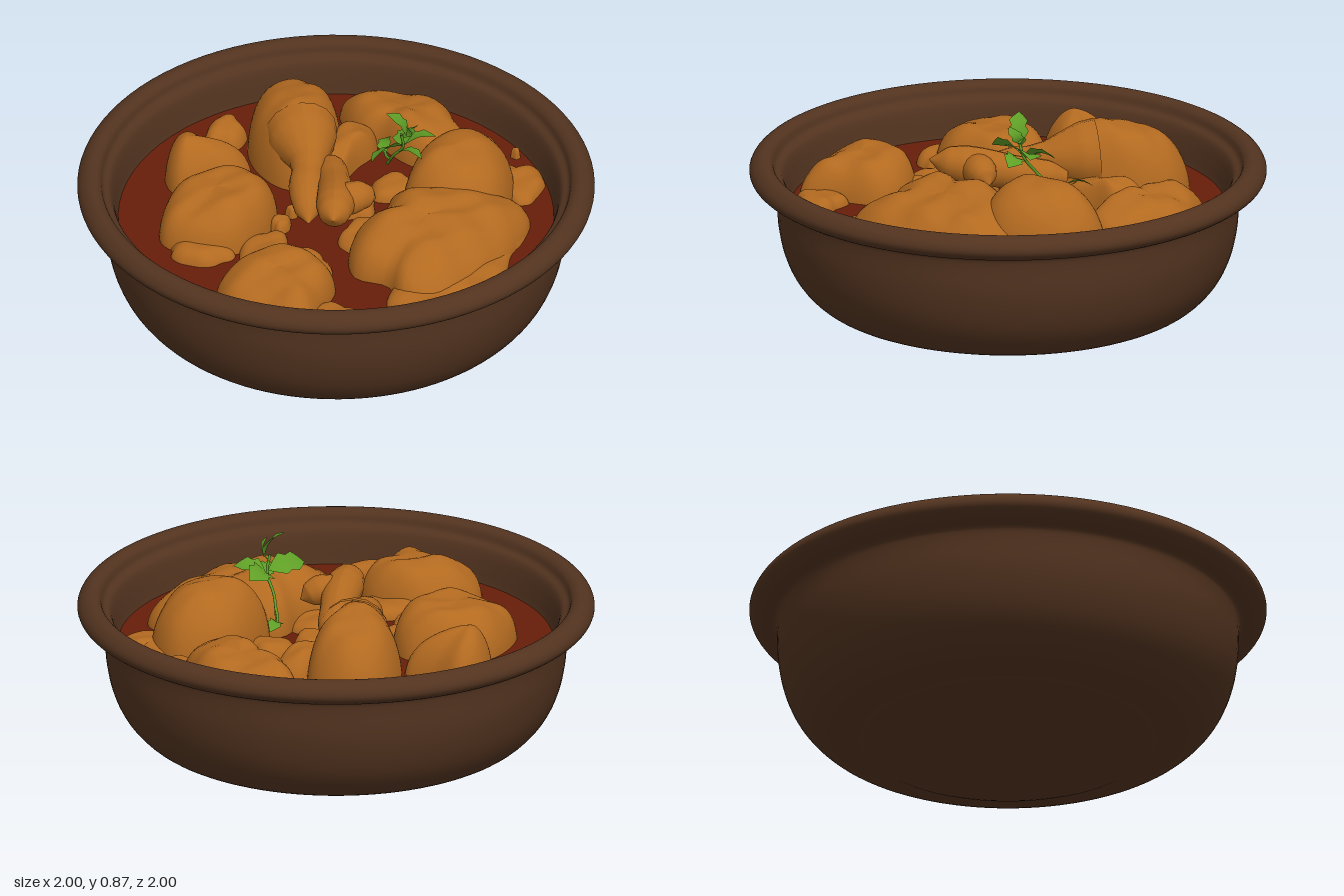
import * as THREE from 'three';

const mat = (name, color, side = THREE.FrontSide) => {
  const m = new THREE.MeshStandardMaterial({ color, side });
  m.name = name;
  return m;
};
const V = (x, y, z) => new THREE.Vector3(x, y, z);
const SAUCE_Y = 0.425;

function makeGeometry(pos, idx) {
  const g = new THREE.BufferGeometry();
  g.setAttribute('position', new THREE.Float32BufferAttribute(pos, 3));
  g.setIndex(idx);
  g.computeVertexNormals();
  return g;
}

// Lump of meat: a closed outline [x, z] shrinking ring by ring towards a peak.
// boxy < 1 gives steep sides and a flat top; tilt slopes the top; rough adds folds.
function lump(outline, top, { boxy = 0.75, tilt = [0, 0], rough = 0.012, peak } = {}) {
  const pts = outline.map(([x, z]) => V(x, 0, z));
  const area = pts.reduce((a, p, i) => {
    const q = pts[(i + 1) % pts.length];
    return a + p.x * q.z - q.x * p.z;
  }, 0);
  if (area < 0) pts.reverse();
  const mid = pts.reduce((a, p) => a.add(p), V(0, 0, 0)).divideScalar(pts.length);
  const c = peak ? V(peak[0], 0, peak[1]) : mid;
  const n = 56, rings = 16, base = SAUCE_Y - 0.015;
  const edge = new THREE.CatmullRomCurve3(pts, true, 'centripetal').getSpacedPoints(n);
  const pos = [], idx = [];
  for (let k = 0; k <= rings; k++) {
    const t = (k / rings) * Math.PI / 2;
    const s = k === rings ? 0 : Math.pow(Math.cos(t), boxy), h = Math.sin(t);
    for (let i = 0; i < n; i++) {
      const dx = (edge[i].x - c.x) * s, dz = (edge[i].z - c.z) * s;
      const x = c.x + dx, z = c.z + dz;
      const fold = Math.sin(x * 23 + z * 9 + top * 40) + 0.7 * Math.sin(z * 31 - x * 14)
        + 0.4 * Math.sin(x * 47 + z * 38);
      pos.push(x, base + (top - base) * h + h * (rough * fold + tilt[0] * dx + tilt[1] * dz), z);
      if (k < rings) {
        const a = k * n + i, b = k * n + (i + 1) % n;
        idx.push(a, a + n, b, b, a + n, b + n);
      }
    }
  }
  return makeGeometry(pos, idx);
}

// Tapered limb: a tube whose rings are scaled by radii spread along the path.
function limb(path, radii, sides = 16) {
  const curve = new THREE.CatmullRomCurve3(path.map(p => V(...p)));
  const n = 36, g = new THREE.TubeGeometry(curve, n, 1, sides);
  const p = g.attributes.position, v = V(0, 0, 0);
  for (let i = 0; i <= n; i++) {
    const c = curve.getPointAt(i / n), f = (i / n) * (radii.length - 1);
    const k = Math.min(Math.floor(f), radii.length - 2);
    const r = THREE.MathUtils.lerp(radii[k], radii[k + 1], f - k);
    for (let j = 0; j <= sides; j++) {
      const q = i * (sides + 1) + j;
      v.fromBufferAttribute(p, q).sub(c).multiplyScalar(r).add(c);
      p.setXYZ(q, v.x, v.y, v.z);
    }
  }
  g.computeVertexNormals();
  return g;
}

// Lobed leaf folded along its midrib and curled upwards in the middle.
function leaf(from, to, width, side) {
  const a = V(...from), b = V(...to), s = V(...side).normalize();
  const up = V(0, 0, 0).crossVectors(s, b.clone().sub(a)).normalize();
  if (up.y < 0) up.negate();
  const lobes = [0.08, 0.6, 1, 0.7, 0.9, 0.5, 0], pos = [], idx = [];
  lobes.forEach((w, i) => {
    const t = i / (lobes.length - 1);
    const c = a.clone().lerp(b, t).addScaledVector(up, 0.02 * Math.sin(Math.PI * t));
    for (const d of [-1, 0, 1]) {
      const q = c.clone().addScaledVector(s, d * w * width).addScaledVector(up, Math.abs(d) * w * width * 0.2);
      pos.push(q.x, q.y, q.z);
    }
    if (i) for (const j of [0, 1]) {
      const k = (i - 1) * 3 + j;
      idx.push(k, k + 1, k + 3, k + 1, k + 4, k + 3);
    }
  });
  return makeGeometry(pos, idx);
}

// Oval outline with a gently wavy edge.
const oval = (x, z, rx, rz) => Array.from({ length: 16 }, (_, i) => {
  const a = (i / 16) * Math.PI * 2;
  const r = 1 + 0.09 * Math.sin(a * 3 + x * 9) + 0.06 * Math.sin(a * 5 + z * 7);
  return [x + Math.cos(a) * rx * r, z + Math.sin(a) * rz * r];
});

export function createModel() {
  const model = new THREE.Group();
  model.name = 'stewBowl';
  const clay = mat('brown clay', 0x52331f);
  const sauceMat = mat('red sauce', 0x661e09);
  const meat = mat('cooked meat', 0xb36a20);
  const green = mat('herb green', 0x5f9e26, THREE.DoubleSide);
  const add = (name, geometry, material, parent = model) => {
    const m = new THREE.Mesh(geometry, material);
    m.name = name;
    parent.add(m);
    return m;
  };

  // Bowl: foot, rounded wall, rolled rim and inner wall
  const profile = [[0, 0.015], [0.3, 0.012], [0.5, 0.005], [0.55, 0.012], [0.59, 0.028], [0.67, 0.04],
    [0.75, 0.08], [0.82, 0.155], [0.865, 0.25], [0.888, 0.36], [0.893, 0.47], [0.905, 0.51], [0.95, 0.522],
    [0.988, 0.545], [1, 0.57], [0.99, 0.597], [0.965, 0.617], [0.935, 0.62], [0.912, 0.605],
    [0.9, 0.575], [0.875, 0.56], [0.862, 0.53], [0.852, 0.48], [0.838, 0.41], [0.8, 0.36]];
  const curve = new THREE.SplineCurve(profile.map(p => new THREE.Vector2(...p)));
  const wall = curve.getPoints(96);
  wall[0].x = 0;
  add('bowl', new THREE.LatheGeometry(wall, 96), clay);

  const sauce = add('sauce', new THREE.CircleGeometry(0.842, 72).rotateX(-Math.PI / 2), sauceMat);
  sauce.position.y = SAUCE_Y;

  // Large meat pieces
  const pieces = new THREE.Group();
  pieces.name = 'meatPieces';
  model.add(pieces);
  const piece = (name, outline, top, opts) => add(name, lump(outline, top, opts), meat, pieces);
  piece('backPiece', [[-0.24, -0.66], [-0.19, -0.74], [-0.02, -0.78], [0.05, -0.81], [0.17, -0.77], [0.25, -0.68],
    [0.32, -0.6], [0.33, -0.5], [0.26, -0.42], [0.13, -0.43], [-0.02, -0.5], [-0.1, -0.5], [-0.19, -0.58]], 0.575,
  { boxy: 0.6, tilt: [0, 0.12], rough: 0.008 });
  piece('drumstickHead', [[-0.51, -0.43], [-0.49, -0.53], [-0.4, -0.6], [-0.25, -0.58], [-0.16, -0.47],
    [-0.12, -0.3], [-0.12, -0.15], [-0.25, -0.1], [-0.38, -0.16], [-0.47, -0.27]], 0.715,
  { rough: 0.007, peak: [-0.28, -0.3] });
  piece('rightBackPiece', [[0.21, -0.4], [0.28, -0.5], [0.4, -0.55], [0.54, -0.48], [0.6, -0.34], [0.6, -0.18],
    [0.5, -0.07], [0.36, -0.04], [0.24, -0.1], [0.2, -0.26]], 0.685, { rough: 0.005, peak: [0.39, -0.27] });
  piece('rightPiece', [[0.14, 0.2], [0.2, 0.08], [0.2, -0.08], [0.36, -0.18], [0.58, -0.28], [0.71, -0.24],
    [0.73, 0], [0.67, 0.24], [0.58, 0.42], [0.45, 0.46], [0.36, 0.38], [0.22, 0.37]], 0.615,
  { boxy: 0.7, tilt: [-0.14, -0.06], rough: 0.01, peak: [0.42, 0.1] });
  piece('frontPiece', [[-0.24, 0.66], [-0.19, 0.5], [-0.08, 0.41], [0.08, 0.4], [0.18, 0.47], [0.19, 0.64],
    [0.18, 0.79], [0, 0.81], [-0.16, 0.78]], 0.585, { boxy: 0.65, tilt: [0, -0.16], rough: 0.009 });
  piece('leftFrontPiece', [[-0.61, 0.14], [-0.52, 0.04], [-0.34, -0.03], [-0.22, 0.06], [-0.2, 0.2],
    [-0.26, 0.38], [-0.4, 0.45], [-0.55, 0.43], [-0.61, 0.3]], 0.61, { boxy: 0.55, tilt: [0.1, -0.05], rough: 0.008 });
  piece('leftPiece', [[-0.72, -0.12], [-0.67, -0.19], [-0.55, -0.17], [-0.42, -0.17], [-0.41, -0.08],
    [-0.5, 0.02], [-0.62, 0.09], [-0.7, 0.02]], 0.625, { boxy: 1.1, peak: [-0.63, -0.03], rough: 0.004 });
  piece('smallLeftPiece', oval(-0.59, -0.34, 0.08, 0.1), 0.51, { rough: 0.004 });
  piece('skinFlap', [[-0.16, -0.52], [-0.05, -0.54], [-0.01, -0.45], [-0.04, -0.34], [-0.07, -0.2], [-0.16, -0.2]],
    0.56, { rough: 0.01 });
  piece('rightFringe', [[0.5, -0.2], [0.7, -0.25], [0.74, -0.1], [0.73, 0], [0.76, 0.14], [0.75, 0.33], [0.66, 0.36],
    [0.6, 0.52], [0.53, 0.58], [0.46, 0.54], [0.4, 0.5], [0.4, 0.2]], 0.475, { boxy: 0.4, rough: 0.005 });

  // Thin scraps lying on the sauce
  [[0.42, -0.4, 0.24, 0.17], [0.25, 0.68, 0.11, 0.1], [-0.17, 0.33, 0.09, 0.13], [-0.4, 0.43, 0.13, 0.09],
    [0.35, -0.61, 0.08, 0.09], [0, 0.38, 0.13, 0.1], [-0.53, 0.06, 0.12, 0.08], [0.15, -0.24, 0.1, 0.09],
    [0.59, -0.44, 0.1, 0.12], [0.5, -0.63, 0.02, 0.015], [-0.16, 0.06, 0.025, 0.02], [-0.17, 0.15, 0.04, 0.05],
    [0.16, 0.1, 0.1, 0.12], [0.05, -0.08, 0.08, 0.09]]
    .forEach(([x, z, rx, rz], i) => piece('scrap' + (i + 1), oval(x, z, rx, rz), 0.475, { boxy: 0.5, rough: 0.005 }));

  // Drumstick shank, and the second bone lying across with its side tip
  add('drumstickShank', limb([[-0.25, 0.59, -0.27], [-0.16, 0.58, -0.11], [-0.11, 0.55, 0.03], [-0.04, 0.5, 0.19]],
    [0.14, 0.13, 0.1, 0.07, 0.062, 0.07, 0.065, 0.05, 0]), meat, pieces);
  add('wingBone', limb([[-0.11, 0.53, -0.2], [-0.04, 0.55, -0.07], [0.03, 0.58, 0.08], [0.1, 0.61, 0.29]],
    [0.03, 0.06, 0.065, 0.065, 0.07, 0.075, 0.075, 0.06, 0]), meat, pieces);
  add('wingTip', limb([[0.03, 0.56, 0.13], [0.11, 0.59, 0.07], [0.17, 0.56, 0.01]],
    [0.03, 0.06, 0.065, 0.06, 0.045, 0]), meat, pieces);

  // Herb sprig
  const herb = new THREE.Group();
  herb.name = 'herbSprig';
  model.add(herb);
  const stem = (name, pts) => add(name,
    new THREE.TubeGeometry(new THREE.CatmullRomCurve3(pts.map(p => V(...p))), 12, 0.006, 6), green, herb);
  stem('mainStem', [[0.12, 0.55, -0.24], [0.17, 0.64, -0.18], [0.22, 0.71, -0.15], [0.22, 0.78, -0.13]]);
  stem('lowerStem', [[0.15, 0.6, -0.2], [0.11, 0.58, -0.25], [0.09, 0.57, -0.29]]);
  [[[0.24, 0.77, -0.14], [0.165, 0.875, -0.11], 0.04, [0.2, 0, 1]],
    [[0.22, 0.76, -0.14], [0.25, 0.84, -0.1], 0.03, [0.7, 0, 0.8]],
    [[0.22, 0.72, -0.14], [0.15, 0.72, 0.01], 0.05, [0.8, 0.7, 0.4]],
    [[0.22, 0.71, -0.15], [0.22, 0.72, -0.28], 0.055, [0.9, 0.5, 0]],
    [[0.22, 0.71, -0.16], [0.33, 0.74, -0.22], 0.05, [0.4, 0.3, 1]],
    [[0.21, 0.7, -0.12], [0.31, 0.69, -0.12], 0.045, [0, 0.4, 1]],
    [[0.1, 0.57, -0.27], [0.065, 0.57, -0.38], 0.03, [1, 0.4, -0.3]]]
    .forEach((l, i) => add('leaf' + (i + 1), leaf(...l), green, herb));

  return model;
}
